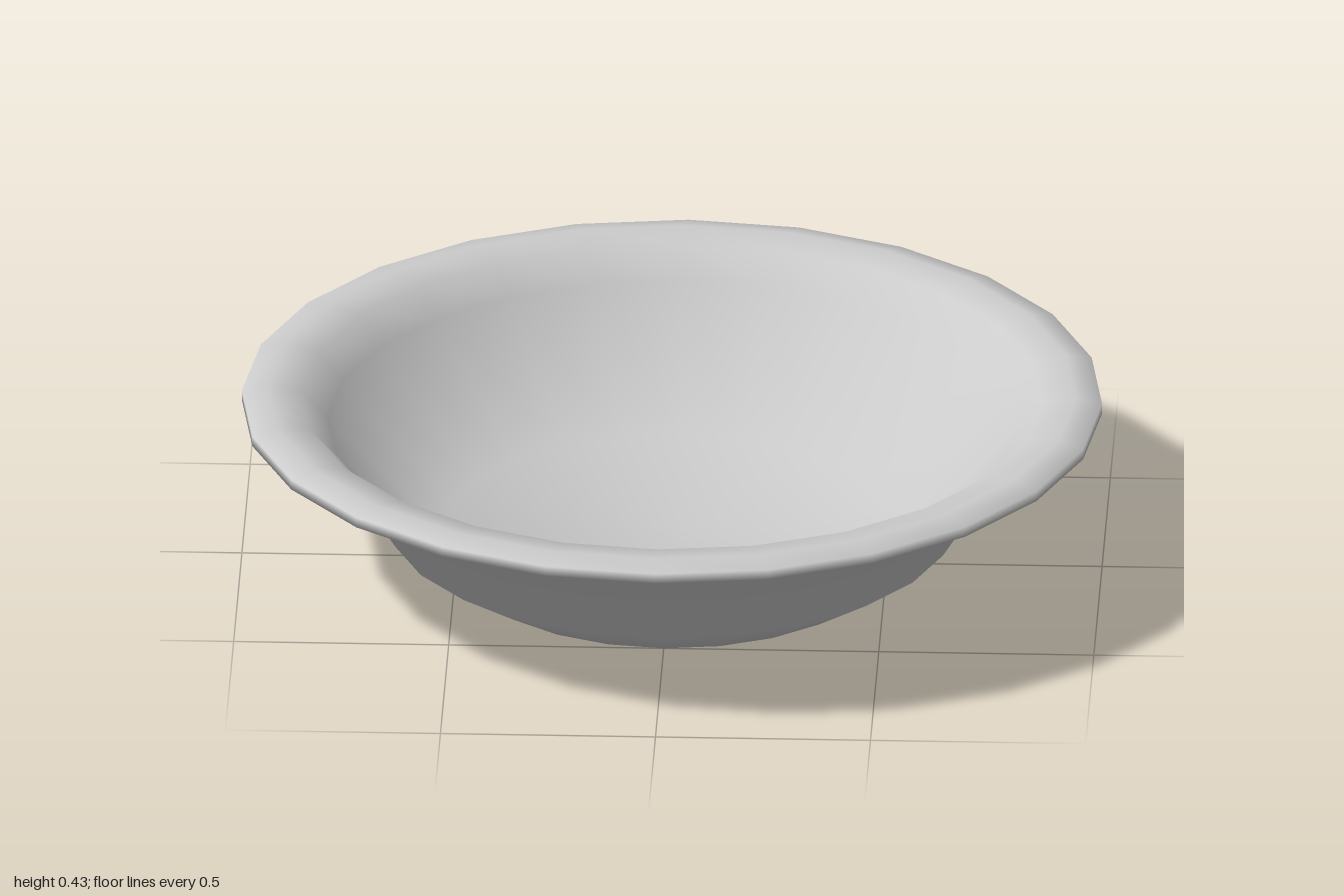
import * as THREE from 'three';

export function createModel() {
  const group = new THREE.Group();
  group.name = 'bowl';

  // Closed cross-section: underside, outer wall, rim, inner wall, floor
  const profile = [
    [0, 0], [0.5, 0], [0.66, 0.1], [0.79, 0.31], [1, 0.39],
    [1, 0.415], [0.94, 0.428], [0.86, 0.415], [0.8, 0.35],
    [0.54, 0.075], [0, 0.07],
  ].map(([r, y]) => new THREE.Vector2(r, y));

  // Smooth-shaded 24-sided body
  const body = new THREE.Mesh(
    new THREE.LatheGeometry(profile, 24),
    new THREE.MeshStandardMaterial({ color: 0xcccccc })
  );
  body.name = 'bowlBody';
  group.add(body);

  return group;
}
